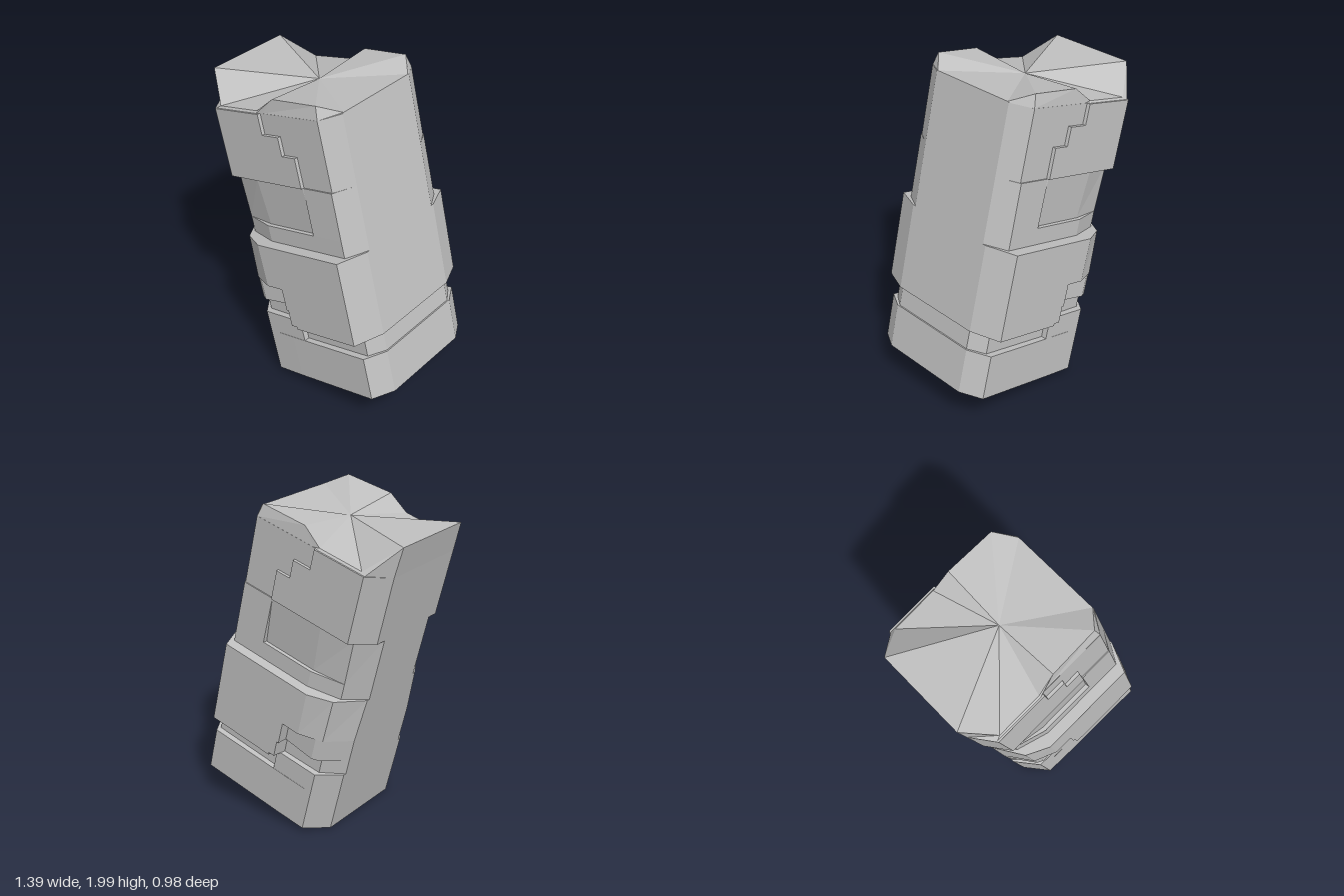
import * as THREE from 'three';

// Mirrors a half outline of [s, z] or [s, z, t] points into a closed ring at height t
function ring(half, t) {
  const front = half.map(([s, z, h]) => new THREE.Vector3(s, h ?? t, z));
  const back = half.map(([s, z, h]) => new THREE.Vector3(s, h ?? t, -z)).reverse();
  return [...front, ...back];
}

// Solid between two rings, with caps fanned from a centre point
function loft(a, b, topCentre) {
  const pts = [];
  const n = a.length;
  const cA = new THREE.Vector3(0.5, a[0].y, 0);
  const cB = topCentre ?? new THREE.Vector3(0.5, b[0].y, 0);
  for (let i = 0; i < n; i++) {
    const j = (i + 1) % n;
    pts.push(a[i], a[j], b[j], a[i], b[j], b[i], cA, a[j], a[i], cB, b[i], b[j]);
  }
  const g = new THREE.BufferGeometry().setFromPoints(pts);
  g.computeVertexNormals();
  return g;
}

// Half outlines: left corner, face, right corner
const base = [[0, 0.29], [0.11, 0.43], [0.3, 0.435], [0.87, 0.44], [0.945, 0.31]];
const grooveRight = [[0, 0.29], [0.11, 0.43], [0.4, 0.435], [0.401, 0.4], [0.87, 0.4], [0.935, 0.3]];
const midRight = [[0, 0.29], [0.11, 0.43], [0.4, 0.435], [0.42, 0.49], [0.87, 0.49], [0.945, 0.31]];
const grooveLeft = [[0, 0.27], [0.11, 0.39], [0.37, 0.4], [0.38, 0.49], [0.87, 0.49], [0.945, 0.31]];
const notch = [[0, 0.27], [0.11, 0.425], [0.15, 0.445], [0.364, 0.425], [0.367, 0.49], [0.87, 0.49], [0.945, 0.31]];
const mid = [[0, 0.27], [0.11, 0.43], [0.25, 0.49], [0.87, 0.49], [0.945, 0.31]];
const midTop = [[0, 0.24], [0.11, 0.42], [0.25, 0.49], [0.87, 0.49], [0.945, 0.31]];

// Upper outline: an inset face up to `edge`, then the right hand border panel
const upper = (edge, zCorner, zBend, zIn, zOut) => [
  [0, zCorner], [0.1, zBend], [0.3, zIn], [edge, zIn], [edge + 0.004, zOut], [0.87, zOut], [0.945, 0.29],
];

export function createModel() {
  const group = new THREE.Group();
  group.name = 'leaningPillar';
  const stone = new THREE.MeshStandardMaterial({ color: 0xc0c0c0, flatShading: true });
  stone.name = 'greyStone';

  const add = (name, geometry) => {
    const mesh = new THREE.Mesh(geometry, stone);
    mesh.name = name;
    group.add(mesh);
  };
  const slab = (name, lower, top, t0, t1) => add(name, loft(ring(lower, t0), ring(top, t1)));

  // Base and the stepped groove around it
  slab('baseBlock', base, base, 0, 0.28);
  slab('lowerGroove', grooveRight, grooveRight, 0.28, 0.4);
  slab('grooveStep', midRight, midRight, 0.4, 0.415);
  slab('upperGroove', grooveLeft, grooveLeft, 0.415, 0.52);

  // Wide middle band with its notch
  slab('middleNotch', notch, notch, 0.52, 0.662);
  slab('middleBand', mid, midTop, 0.662, 0.94);

  // Upper block: sloping inset, overhanging corner, stepped edge
  slab('upperFoot', upper(0.656, 0.22, 0.36, 0.42, 0.42), upper(0.656, 0.22, 0.36, 0.42, 0.42), 0.94, 1.043);
  slab('insetPanel', upper(0.656, 0.22, 0.36, 0.395, 0.42), upper(0.656, 0.22, 0.37, 0.42, 0.418), 1.043, 1.34);
  const steps = [[0.656, 1.34, 1.525], [0.56, 1.525, 1.638], [0.44, 1.638, 1.763]];
  for (const [edge, t0, t1] of steps) {
    const outline = upper(edge, 0.29, 0.43, 0.43, 0.411);
    slab('steppedPanel', outline, outline, t0, t1);
  }

  // Broken crown: raised left tips and right peaks
  const rim = [[0, 0.29], [0.1, 0.42], [0.42, 0.42], [0.46, 0.41], [0.87, 0.41], [0.945, 0.29]];
  const crown = [
    [-0.005, 0.28, 1.945], [0.13, 0.41, 1.775], [0.42, 0.41, 1.775],
    [0.55, 0.4, 1.85], [0.86, 0.39, 1.838], [0.945, 0.28, 1.767],
  ];
  add('brokenCrown', loft(ring(rim, 1.763), ring(crown), new THREE.Vector3(0.535, 1.815, 0)));

  // Lean the pillar onto its lower left edge
  group.rotation.z = 0.244;
  group.position.set(-0.22, 0, 0);
  const model = new THREE.Group();
  model.name = 'brokenPillar';
  model.add(group);
  return model;
}
